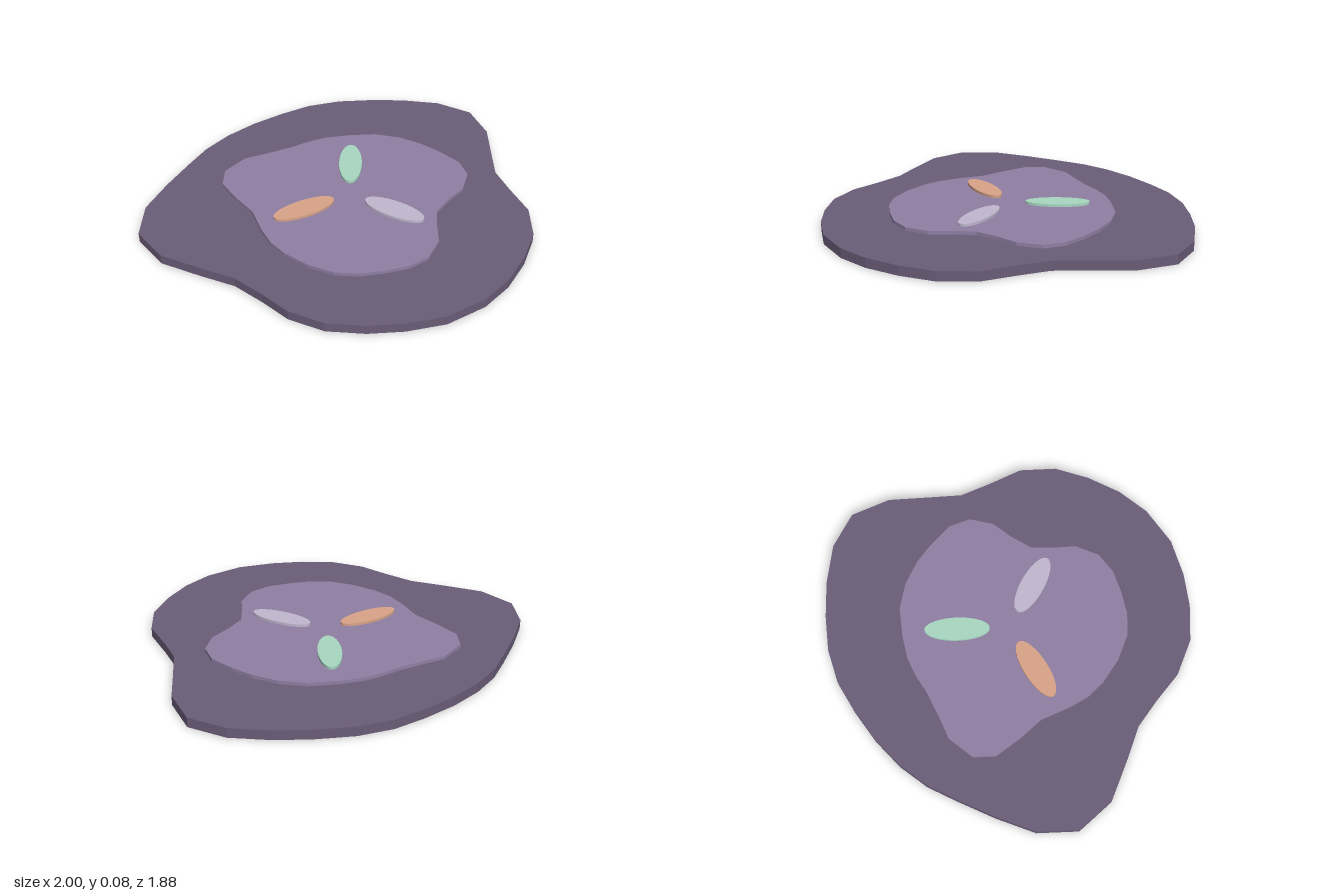
import * as THREE from 'three';

const mat = (name, color) => {
  const m = new THREE.MeshStandardMaterial({ color });
  m.name = name;
  return m;
};

// Flat slab from an outline of [x, z] points, between two heights
function slab(name, outline, bottom, top, material) {
  const shape = new THREE.Shape(outline.map(([x, z]) => new THREE.Vector2(x, -z)));
  const geo = new THREE.ExtrudeGeometry(shape, { depth: top - bottom, bevelEnabled: false });
  geo.rotateX(-Math.PI / 2);
  geo.translate(0, bottom, 0);
  const mesh = new THREE.Mesh(geo, material);
  mesh.name = name;
  return mesh;
}

// Thin elliptical disc lying on the upper layer
function fleck(name, x, z, degrees, material) {
  const height = 0.014;
  const mesh = new THREE.Mesh(new THREE.CylinderGeometry(1, 1, height, 32), material);
  mesh.name = name;
  mesh.scale.set(0.168, 1, 0.061);
  mesh.rotation.y = THREE.MathUtils.degToRad(degrees);
  mesh.position.set(x, 0.068 + height / 2, z);
  return mesh;
}

export function createModel() {
  const group = new THREE.Group();
  group.name = 'puddle';

  // Wide irregular base
  const baseOutline = [
    [-1, -0.44], [-0.96, -0.65], [-0.8, -0.785], [-0.6, -0.85], [-0.4, -0.9], [-0.24, -0.935],
    [-0.07, -0.94], [0.11, -0.915], [0.29, -0.865], [0.45, -0.805], [0.6, -0.705], [0.73, -0.575],
    [0.85, -0.43], [0.96, -0.25], [1, -0.05], [0.9, 0.14], [0.76, 0.265], [0.61, 0.4],
    [0.535, 0.54], [0.45, 0.715], [0.305, 0.84], [0.13, 0.905], [-0.055, 0.94], [-0.235, 0.935],
    [-0.44, 0.87], [-0.6, 0.755], [-0.725, 0.63], [-0.835, 0.475], [-0.885, 0.295], [-0.88, 0.125],
    [-0.885, -0.05], [-0.94, -0.225],
  ];
  group.add(slab('base', baseOutline, 0, 0.05, mat('dark purple', 0x6b5d78)));

  // Smaller raised layer
  const layerOutline = [
    [-0.42, -0.615], [-0.33, -0.69], [-0.18, -0.69], [-0.075, -0.635], [0.065, -0.57], [0.155, -0.54],
    [0.245, -0.495], [0.34, -0.42], [0.45, -0.31], [0.515, -0.185], [0.545, -0.05], [0.55, 0.07],
    [0.54, 0.21], [0.48, 0.31], [0.365, 0.365], [0.245, 0.365], [0.12, 0.38], [0.03, 0.45],
    [-0.06, 0.53], [-0.185, 0.565], [-0.3, 0.535], [-0.405, 0.465], [-0.495, 0.39], [-0.565, 0.295],
    [-0.605, 0.16], [-0.615, 0.015], [-0.6, -0.09], [-0.56, -0.19], [-0.485, -0.33], [-0.46, -0.47],
  ];
  group.add(slab('upperLayer', layerOutline, 0.05, 0.068, mat('light purple', 0x9080a4)));

  // Three coloured flecks
  group.add(
    fleck('orangeFleck', -0.305, -0.14, -21, mat('orange', 0xd9a488)),
    fleck('greenFleck', 0.143, -0.218, 40, mat('mint green', 0xa8d8c2)),
    fleck('lilacFleck', -0.015, 0.213, -80, mat('pale lilac', 0xc2b8d0)),
  );
  return group;
}
